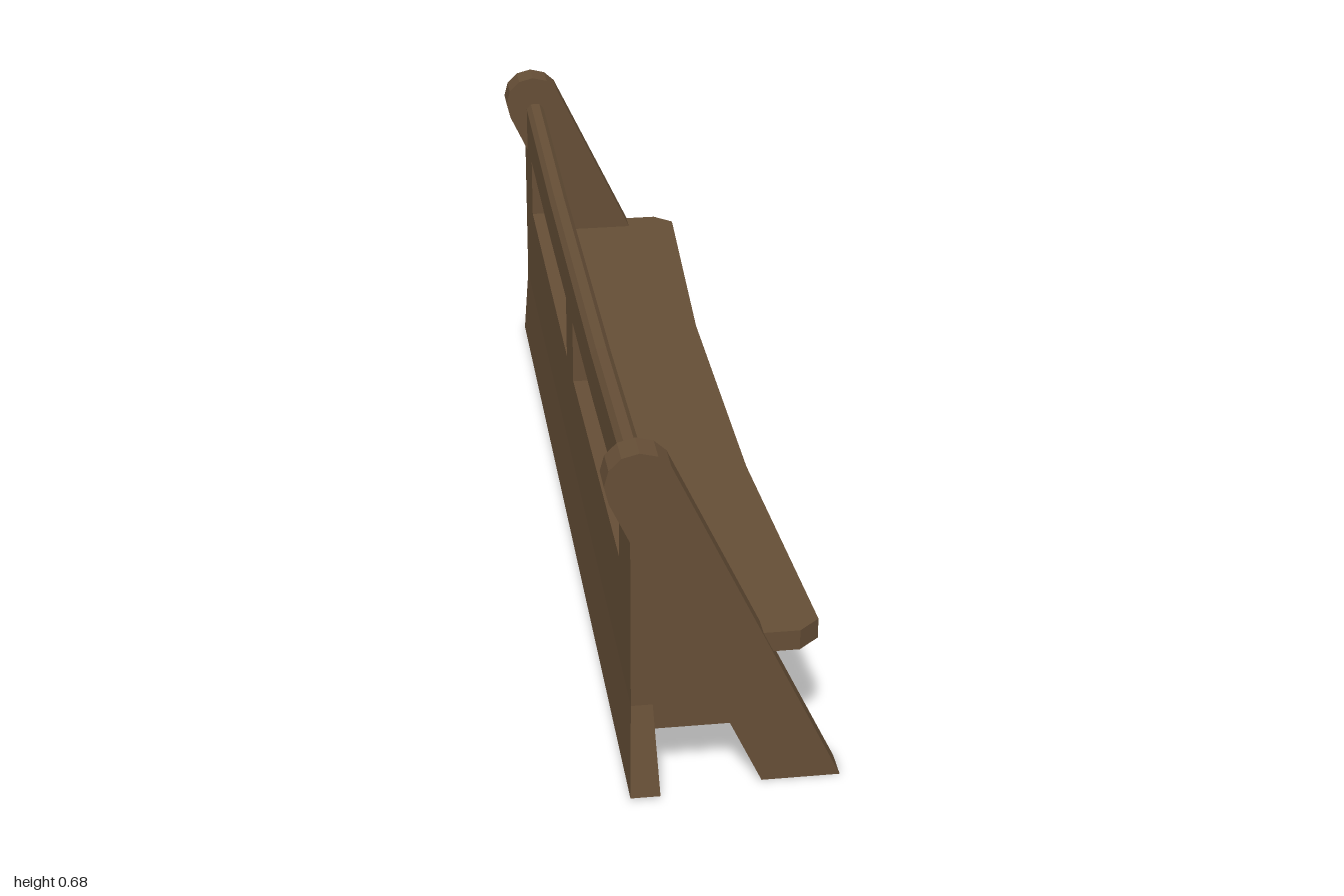
import * as THREE from 'three';

const wood = new THREE.MeshStandardMaterial({ color: 0x654e36 });
wood.name = 'brown wood';
wood.flatShading = true;

const path = (points) => points.map(([a, b]) => new THREE.Vector2(a, b));

function extrude(points, depth, holes = [], steps = 1) {
  const shape = new THREE.Shape(path(points));
  for (const hole of holes) shape.holes.push(new THREE.Path(path(hole)));
  return new THREE.ExtrudeGeometry(shape, { depth, steps, bevelEnabled: false });
}

export function createModel() {
  const bench = new THREE.Group();
  bench.name = 'bench';
  const add = (name, geometry) => {
    geometry.computeVertexNormals();
    const mesh = new THREE.Mesh(geometry, wood);
    mesh.name = name;
    bench.add(mesh);
    return mesh;
  };

  // Backrest plank with two openings and a dipped, chamfered top edge
  const backOutline = [
    [-0.955, 0.17], [0.955, 0.17], [0.955, 0.617], [0.91, 0.615],
    [0.38, 0.597], [-0.38, 0.597], [-0.91, 0.615], [-0.955, 0.617],
  ];
  const openings = [
    [[0.05, 0.368], [0.05, 0.5], [0.4, 0.5], [0.8, 0.512], [0.8, 0.384]],
    [[-0.07, 0.368], [-0.8, 0.384], [-0.8, 0.512], [-0.4, 0.5], [-0.07, 0.5]],
  ];
  const back = extrude(backOutline, 0.039, openings, 4);
  const p = back.attributes.position;
  for (let i = 0; i < p.count; i++) {
    const outer = p.getZ(i) < 0.001 || p.getZ(i) > 0.038;
    if (outer && p.getY(i) > 0.58) p.setY(i, p.getY(i) - 0.012);
  }
  back.rotateY(-Math.PI / 2).translate(-0.128, 0, 0);
  add('backrest', back);

  // Flared foot of the backrest
  const foot = new THREE.BoxGeometry(1, 0.165, 2);
  const f = foot.attributes.position;
  for (let i = 0; i < f.count; i++) {
    const low = f.getY(i) < 0;
    const front = f.getX(i) > 0;
    f.setX(i, low ? (front ? -0.12 : -0.174) : (front ? -0.128 : -0.167));
    f.setZ(i, Math.sign(f.getZ(i)) * (low ? 1 : 0.955));
  }
  foot.translate(0, 0.0875, 0);
  add('backrestFoot', foot);

  // Seat board with a gently hollowed front edge and clipped corners
  const seat = extrude([
    [-0.13, -0.95], [0.135, -0.95], [0.174, -0.915], [0.143, -0.33],
    [0.143, 0.33], [0.174, 0.915], [0.135, 0.95], [-0.13, 0.95],
  ], 0.039);
  seat.rotateX(-Math.PI / 2).translate(0, 0.259, 0);
  add('seat', seat);

  // Slanted end legs with rounded tops, and the end plates behind them
  const legOutline = [
    [0.068, 0], [0.211, 0], [-0.098, 0.65], [-0.12, 0.67], [-0.152, 0.678],
    [-0.183, 0.67], [-0.205, 0.648], [-0.213, 0.618], [-0.205, 0.585],
  ];
  const plateOutline = [[-0.13, 0.117], [0.02, 0.117], [0.02, 0.2], [-0.13, 0.5]];
  for (const [side, z] of [['left', 0.937], ['right', -0.931]]) {
    add(side + 'Leg', extrude(legOutline, 0.06).translate(0, 0, z - 0.03));
    add(side + 'EndPlate', extrude(plateOutline, 0.03).translate(0, 0, z - 0.015));
  }

  // Brackets under the seat; the last one sits slightly askew
  const bracketOutline = [
    [-0.13, 0.083], [-0.03, 0.095], [-0.016, 0.117], [0.045, 0.26], [-0.13, 0.26],
  ];
  for (const [z, turn] of [[0.41, 0], [-0.015, 0], [-0.445, 0.15]]) {
    const bracket = extrude(bracketOutline, 0.035).translate(0.125, 0, -0.0175);
    bracket.rotateY(turn).translate(-0.125, 0, z);
    add('seatBracket', bracket);
  }

  return bench;
}
